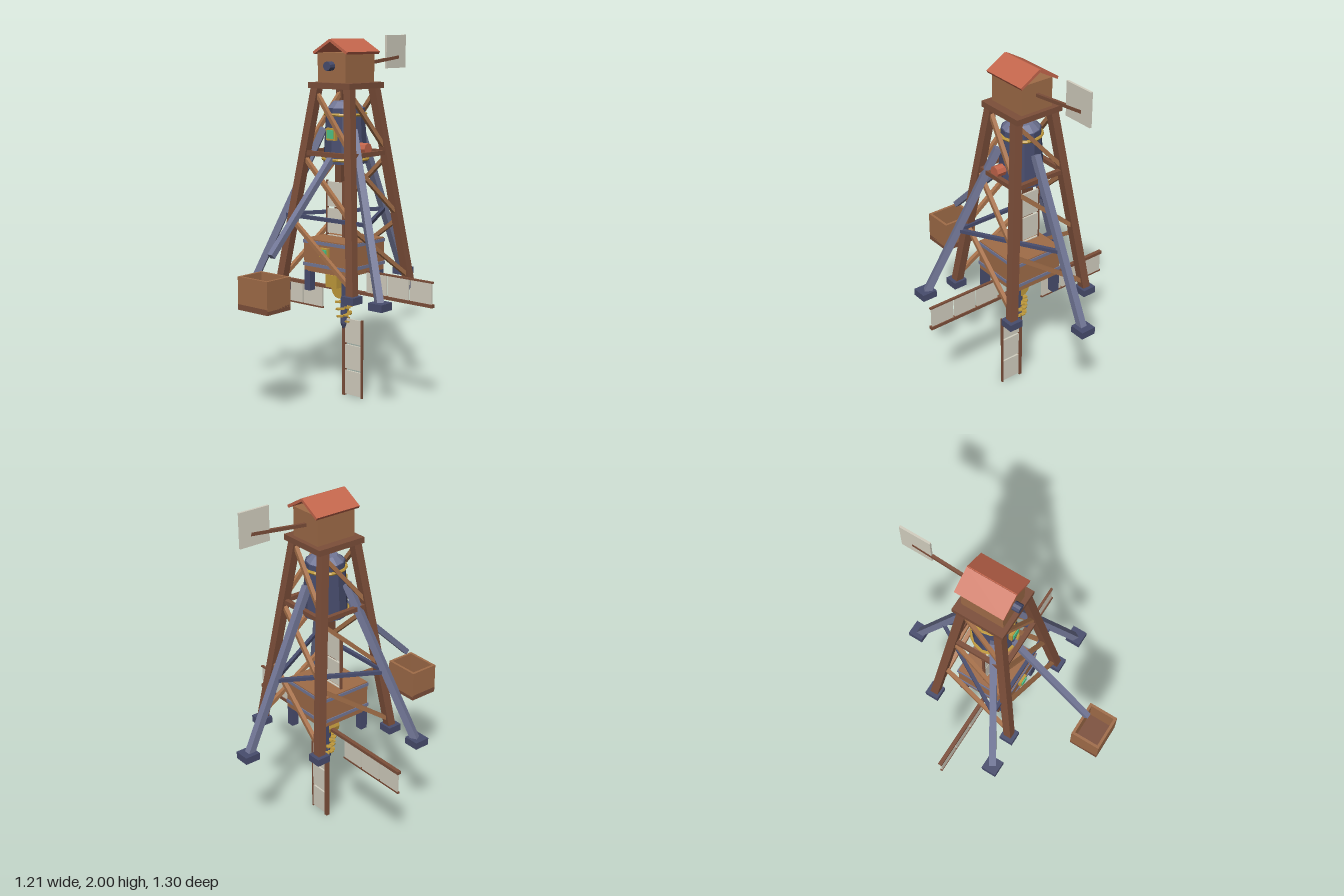
import * as THREE from 'three';

const C = -0.08; // z of the tower axis
const HUB_Y = 0.605;
const V = (x, y, z) => new THREE.Vector3(x, y, z);

export function createModel() {
  const root = new THREE.Group();
  root.name = 'windPumpTower';
  const mat = (name, color) => {
    const m = new THREE.MeshStandardMaterial({ color, flatShading: true });
    m.name = name;
    return m;
  };
  const darkWood = mat('darkWood', 0x7d4f3a);
  const wood = mat('wood', 0xa06c48);
  const braceWood = mat('braceWood', 0xa9734c);
  const roofRed = mat('roofRed', 0xc4664c);
  const steel = mat('steel', 0x737898);
  const darkSteel = mat('darkSteel', 0x484d6e);
  const gold = mat('gold', 0xc09a3c);
  const green = mat('green', 0x4fc488);
  const canvas = mat('canvas', 0xd3cfc0);

  const add = (name, geo, m, x = 0, y = 0, z = 0, parent = root) => {
    const mesh = new THREE.Mesh(geo, m);
    mesh.name = name;
    mesh.position.set(x, y, z);
    parent.add(mesh);
    return mesh;
  };
  const box = (name, w, h, d, m, x, y, z, parent) =>
    add(name, new THREE.BoxGeometry(w, h, d), m, x, y, z, parent);
  const cyl = (name, rTop, rBottom, h, sides, m, x, y, z, parent) =>
    add(name, new THREE.CylinderGeometry(rTop, rBottom, h, sides), m, x, y, z, parent);
  // Square beam between two points
  const beam = (name, a, b, w, h, m) => {
    const mid = a.clone().add(b).multiplyScalar(0.5);
    const mesh = box(name, w, h, a.distanceTo(b), m, mid.x, mid.y, mid.z);
    mesh.lookAt(b);
    return mesh;
  };

  // Tower: four leaning legs, level rails and one diagonal per bay on each face
  const corner = (i, y) => {
    const t = (y - 0.62) / 1.1;
    const sx = [-1, 1, 1, -1][i % 4], sz = [1, 1, -1, -1][i % 4];
    return V(sx * (0.257 - 0.142 * t), y, C + sz * (0.25 - 0.145 * t));
  };
  for (let i = 0; i < 4; i++) {
    const a = corner(i, 0.62), b = corner(i, 1.73);
    const mid = a.clone().add(b).multiplyScalar(0.5);
    const leg = box('towerLeg', 0.046, a.distanceTo(b), 0.046, darkWood, mid.x, mid.y, mid.z);
    leg.quaternion.setFromUnitVectors(V(0, 1, 0), b.clone().sub(a).normalize());
    box('towerFoot', 0.08, 0.04, 0.08, darkSteel, a.x, 0.63, a.z);
    beam('towerRail', corner(i, 1.37), corner(i + 1, 1.37), 0.025, 0.025, darkWood);
    for (const [low, high] of [[0.68, 1.0], [1.03, 1.35], [1.39, 1.7]])
      beam('towerBrace', corner(i, high), corner(i + 1, low), 0.022, 0.022, braceWood);
  }

  // Tripod around the tower, tied together by a triangle of bars
  const tripod = (i, y) => {
    const r = 0.533 - 0.413 * (y - 0.61) / 0.89;
    const a = Math.PI / 6 + i * Math.PI * 2 / 3;
    return V(r * Math.cos(a), y, C + r * Math.sin(a));
  };
  for (let i = 0; i < 3; i++) {
    const p = tripod(i, 0.62);
    beam('tripodLeg', p, tripod(i, 1.5), 0.038, 0.038, steel);
    box('tripodFoot', 0.088, 0.04, 0.088, darkSteel, p.x, 0.63, p.z);
    beam('tripodTie', tripod(i, 1.02), tripod(i + 1, 1.02), 0.02, 0.02, darkSteel);
  }

  // Platform, cabin and gable roof
  box('platform', 0.292, 0.032, 0.292, darkWood, 0, 1.735, -0.085);
  box('cabin', 0.196, 0.16, 0.24, wood, 0, 1.83, -0.085);
  for (const s of [-1, 1]) {
    const slab = box('roofSlab', 0.136, 0.015, 0.276, roofRed, s * 0.058, 1.942, -0.088);
    slab.rotation.z = -s * 0.53;
  }
  const pin = cyl('axlePin', 0.025, 0.025, 0.06, 10, darkSteel, 0, 1.84, 0.045);
  pin.rotation.x = Math.PI / 2;

  // Tail vane
  beam('vaneBoom', V(0, 1.838, -0.19), V(0, 1.876, -0.54), 0.016, 0.018, darkWood);
  box('vane', 0.012, 0.185, 0.175, canvas, 0, 1.9075, -0.518);

  // Tank with lid, hoops, gauge and side valve
  cyl('tank', 0.106, 0.122, 0.3, 12, darkSteel, 0, 1.465, C);
  cyl('tankLid', 0.065, 0.1, 0.035, 12, steel, 0, 1.632, C);
  for (const [y, r] of [[1.58, 0.11], [1.338, 0.123]]) {
    const hoop = add('tankHoop', new THREE.TorusGeometry(r, 0.009, 6, 16), gold, 0, y, C);
    hoop.rotation.x = Math.PI / 2;
  }
  box('gaugeFrame', 0.066, 0.066, 0.02, gold, 0, 1.477, 0.035);
  box('gaugeFace', 0.046, 0.046, 0.008, green, 0, 1.477, 0.047);
  const valve = cyl('valve', 0.032, 0.032, 0.06, 8, roofRed, 0.138, 1.4, C + 0.01);
  valve.rotation.z = Math.PI / 2;

  // Chute and open catch box
  beam('chute', V(0, 1.365, 0.02), V(0, 0.88, 0.512), 0.032, 0.032, steel);
  const bin = new THREE.Group();
  bin.name = 'catchBox';
  bin.position.set(0, 0.61, 0.565);
  root.add(bin);
  box('binFloor', 0.208, 0.03, 0.172, darkWood, 0, 0.015, 0, bin);
  for (const s of [-1, 1]) {
    box('binSide', 0.015, 0.155, 0.172, wood, s * 0.0965, 0.0975, 0, bin);
    box('binEnd', 0.178, 0.155, 0.015, wood, 0, 0.0975, s * 0.0785, bin);
  }

  // Machine box under the tower
  const bz = -0.07;
  box('machineBox', 0.312, 0.18, 0.312, wood, 0, 0.81, bz);
  for (const y of [0.885, 0.758]) box('machineBand', 0.322, 0.018, 0.322, steel, 0, y, bz);
  for (const sx of [-1, 1])
    for (const sz of [-1, 1])
      box('machineLeg', 0.042, 0.115, 0.042, darkSteel, sx * 0.135, 0.667, bz + sz * 0.135);
  box('panelFrame', 0.06, 0.05, 0.018, gold, 0, 0.838, 0.095);
  box('panelFace', 0.044, 0.036, 0.008, green, 0, 0.838, 0.106);

  // Four-armed rotor: spar, outer rail and three cloth panels on each arm
  for (let i = 0; i < 4; i++) {
    const arm = new THREE.Group();
    arm.name = 'rotorArm';
    arm.position.set(0, HUB_Y, -0.074);
    arm.rotation.z = i * Math.PI / 2;
    root.add(arm);
    box('spar', 0.605, 0.018, 0.022, darkWood, 0.3025, 0, 0, arm);
    box('sailRail', 0.448, 0.009, 0.014, darkWood, 0.381, 0.126, 0, arm);
    for (let k = 0; k < 3; k++)
      box('sailPanel', 0.138, 0.116, 0.01, canvas, 0.23 + k * 0.149, 0.065, 0, arm);
  }
  const hub = cyl('rotorHub', 0.05, 0.05, 0.075, 12, gold, 0, 0.613, -0.06);
  hub.rotation.x = Math.PI / 2;
  box('gearBox', 0.08, 0.07, 0.06, gold, 0, 0.67, 0.01);

  // Drill: shaft with stepped spiral blades and a pointed tip
  cyl('drillShaft', 0.02, 0.02, 0.17, 8, darkSteel, 0, 0.5, -0.07);
  cyl('drillTip', 0.02, 0.006, 0.035, 8, darkSteel, 0, 0.3975, -0.07);
  const n = 24;
  for (let i = 0; i < n; i++) {
    const t = i / (n - 1), a = t * Math.PI * 6, r = 0.036 - 0.012 * t;
    const fin = box('drillFin', 0.03, 0.008, 0.024, gold,
      r * Math.cos(a), 0.553 - 0.125 * t, -0.07 + r * Math.sin(a));
    fin.rotation.y = -a;
  }
  return root;
}
